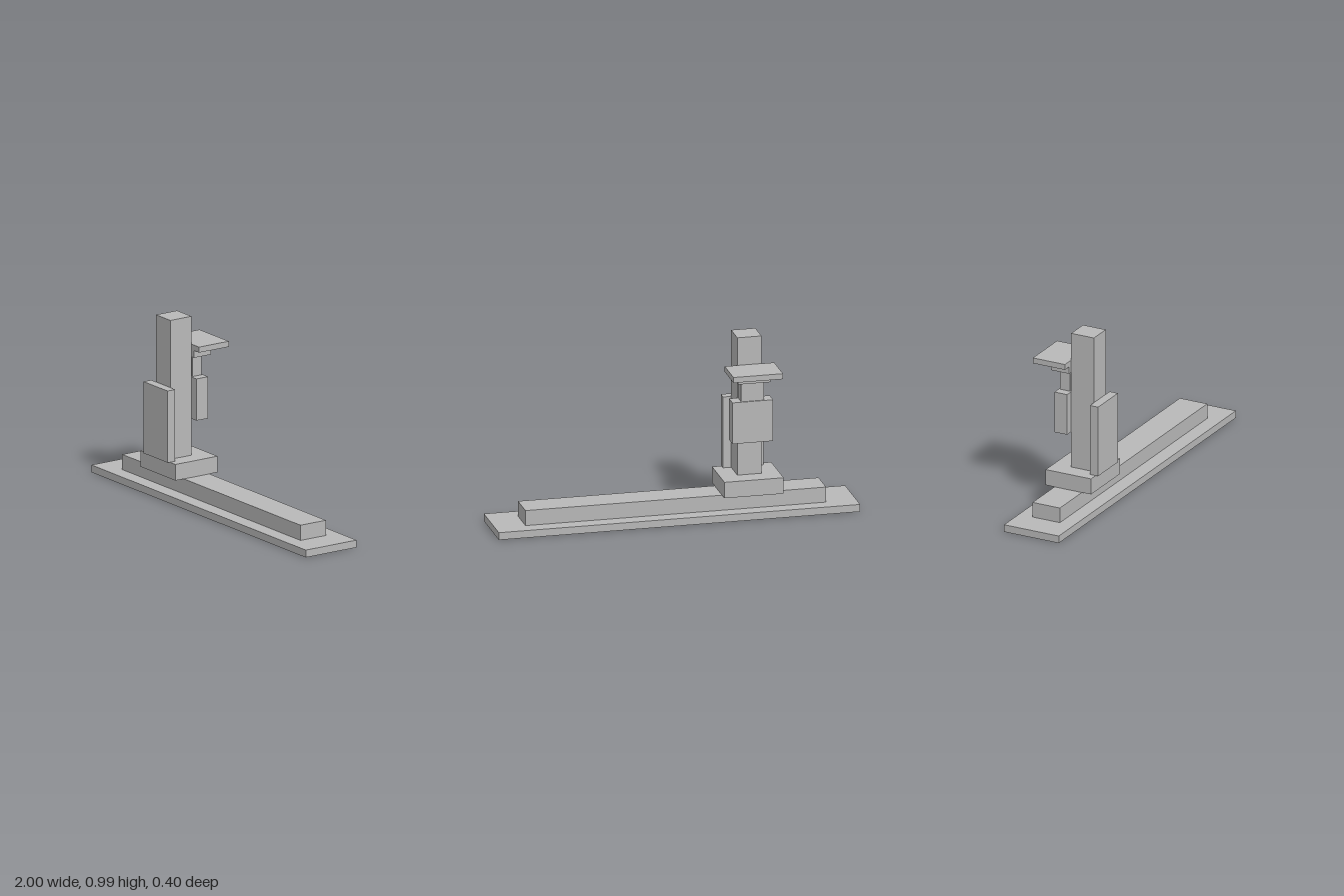
import * as THREE from 'three';

export function createModel() {
  const model = new THREE.Group();
  const grey = new THREE.MeshStandardMaterial({ color: 0xb8b8b8 });
  grey.name = 'grey';

  // Adds a box from its [min, max] extents along each axis
  function block(name, [x0, x1], [y0, y1], [z0, z1]) {
    const mesh = new THREE.Mesh(new THREE.BoxGeometry(x1 - x0, y1 - y0, z1 - z0), grey);
    mesh.name = name;
    mesh.position.set((x0 + x1) / 2, (y0 + y1) / 2, (z0 + z1) / 2);
    model.add(mesh);
  }

  // x extents centred on the column, which stands off to one side
  const COLUMN_X = -0.42;
  const across = (width) => [COLUMN_X - width / 2, COLUMN_X + width / 2];

  // Bed and slide rail
  block('basePlate', [-1, 1], [0, 0.041], [-0.134, 0.2]);
  block('slideRail', [-0.832, 0.832], [0.041, 0.126], [-0.051, 0.116]);

  // Carriage and upright column
  block('carriage', across(0.328), [0.126, 0.216], [-0.105, 0.172]);
  block('column', across(0.134), [0.216, 0.993], [-0.002, 0.137]);
  block('frontPlate', across(0.223), [0.216, 0.617], [0.137, 0.187]);

  // Parts carried behind the column
  block('rearBlock', across(0.225), [0.42, 0.653], [-0.079, -0.002]);
  block('neck', across(0.126), [0.653, 0.766], [-0.072, -0.01]);
  block('shelfBracket', across(0.18), [0.766, 0.806], [-0.114, -0.002]);
  block('shelf', across(0.274), [0.806, 0.837], [-0.198, -0.002]);

  return model;
}
